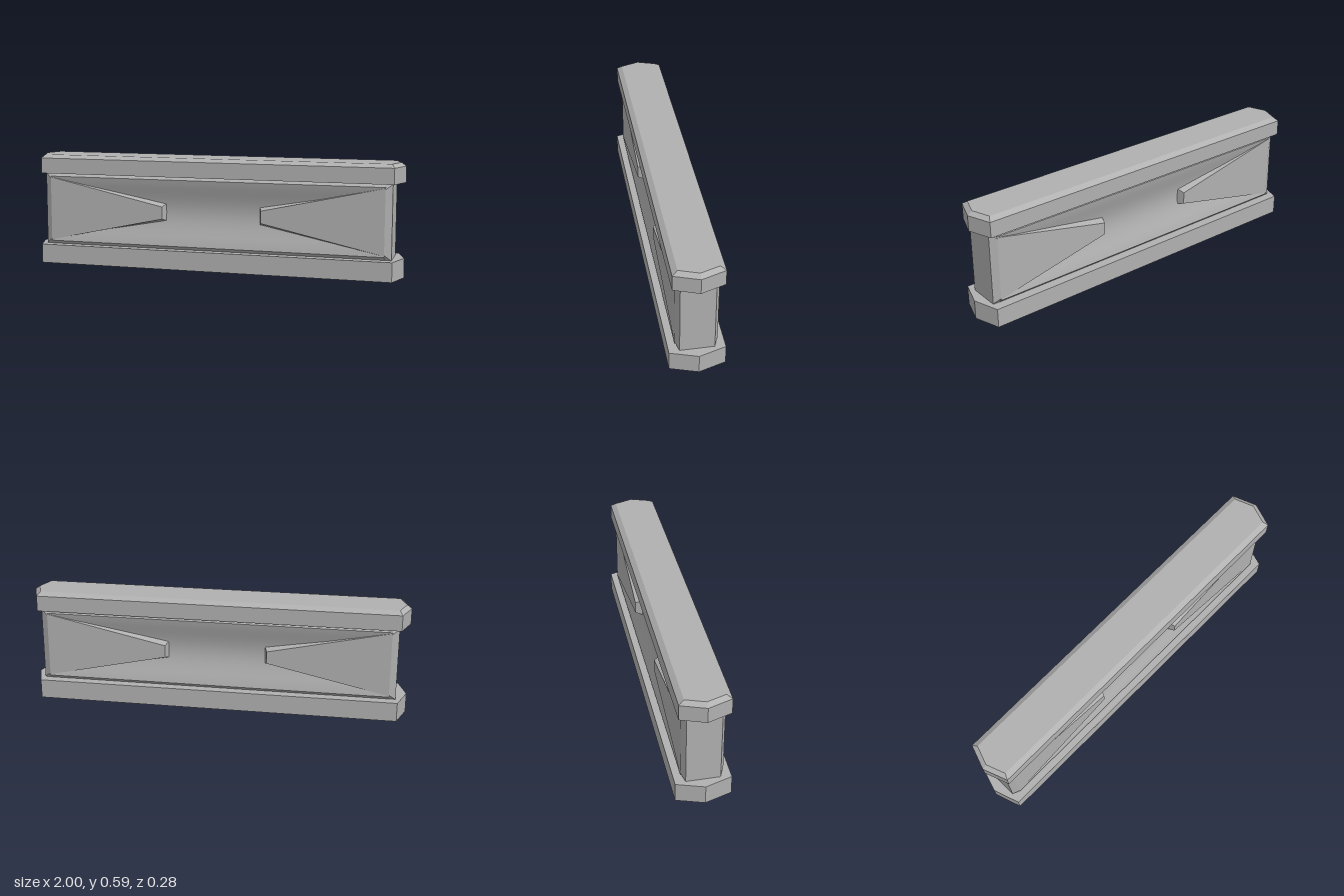
import * as THREE from 'three';
import { toCreasedNormals } from 'three/addons/utils/BufferGeometryUtils.js';

const stone = new THREE.MeshStandardMaterial({ color: 0xb0b0b0 });
stone.name = 'grey stone';

// Faceted solid through convex rings of [x, y, z], each anticlockwise seen from the last ring
function loft(rings) {
  const pos = [];
  const tri = (a, b, c) => pos.push(...a, ...b, ...c);
  const first = rings[0], last = rings[rings.length - 1], n = first.length;
  for (let r = 0; r < rings.length - 1; r++) {
    const a = rings[r], b = rings[r + 1];
    for (let i = 0; i < n; i++) {
      const j = (i + 1) % n;
      tri(a[i], a[j], b[j]);
      tri(a[i], b[j], b[i]);
    }
  }
  for (let i = 1; i < n - 1; i++) {
    tri(first[0], first[i + 1], first[i]);
    tri(last[0], last[i], last[i + 1]);
  }
  const g = new THREE.BufferGeometry();
  g.setAttribute('position', new THREE.Float32BufferAttribute(pos, 3));
  g.computeVertexNormals();
  return g;
}

// Long hexagon with pointed ends, lying flat at height y
const hexagon = (y, tip, x, z) => [
  [tip, y, 0], [x, y, -z], [-x, y, -z], [-tip, y, 0], [-x, y, z], [x, y, z],
];

export function createModel() {
  const group = new THREE.Group();
  const add = (name, geometry, turn = 0) => {
    const mesh = new THREE.Mesh(geometry, stone);
    mesh.name = name;
    mesh.rotation.y = turn;
    group.add(mesh);
  };

  // Base slab and bevelled coping
  add('base', loft([hexagon(0, 1, 0.955, 0.138), hexagon(0.102, 1, 0.955, 0.138)]));
  add('coping', loft([
    hexagon(0.492, 1, 0.955, 0.125),
    hexagon(0.575, 1, 0.955, 0.125),
    hexagon(0.593, 0.975, 0.94, 0.098),
  ]));

  // Wall with hollowed faces and chamfered long edges
  const y0 = 0.1, y1 = 0.494, low = 0.12, high = 0.475;
  const side = [[0.085, y0], [0.105, low]];
  const steps = 14;
  for (let i = 1; i < steps; i++) {
    const t = i / steps;
    side.push([0.105 - 0.04 * Math.sin(Math.PI * t) ** 1.3, low + (high - low) * t]);
  }
  side.push([0.105, high], [0.085, y1]);
  const outline = [...side, ...side.map(([z, y]) => [-z, y]).reverse()];
  const shape = new THREE.Shape(outline.map(([z, y]) => new THREE.Vector2(z, y)));
  const wall = new THREE.ExtrudeGeometry(shape, { depth: 1.82, bevelEnabled: false });
  wall.translate(0, 0, -0.91).rotateY(Math.PI / 2);
  add('wall', toCreasedNormals(wall, 0.5));

  // Chamfered wall ends
  const endRing = (x, z, inset) => [
    [x, y0, -0.085], [x, y0 + inset, -z], [x, y1 - inset, -z], [x, y1, -0.085],
    [x, y1, 0.085], [x, y1 - inset, z], [x, y0 + inset, z], [x, y0, 0.085],
  ];
  const end = loft([endRing(0.91, 0.105, 0.03), endRing(0.945, 0.085, 0.005)]);
  add('leftEnd', end, 0);
  add('rightEnd', end, Math.PI);

  // Raised tapering panels, two on each face, pointing to the middle
  for (const s of [1, -1]) {
    const ring = (z, tipX, grow) => {
      const r = [
        [s * tipX, 0.265 - grow, z], [s * 0.91, 0.125 - grow * 0.3, z],
        [s * 0.91, 0.47 + grow * 0.3, z], [s * tipX, 0.33 + grow, z],
      ];
      return s > 0 ? r : r.reverse();
    };
    const panel = loft([ring(0.06, 0.255, 0.015), ring(0.105, 0.27, 0)]);
    add('frontPanel', panel, 0);
    add('backPanel', panel, Math.PI);
  }

  return group;
}
